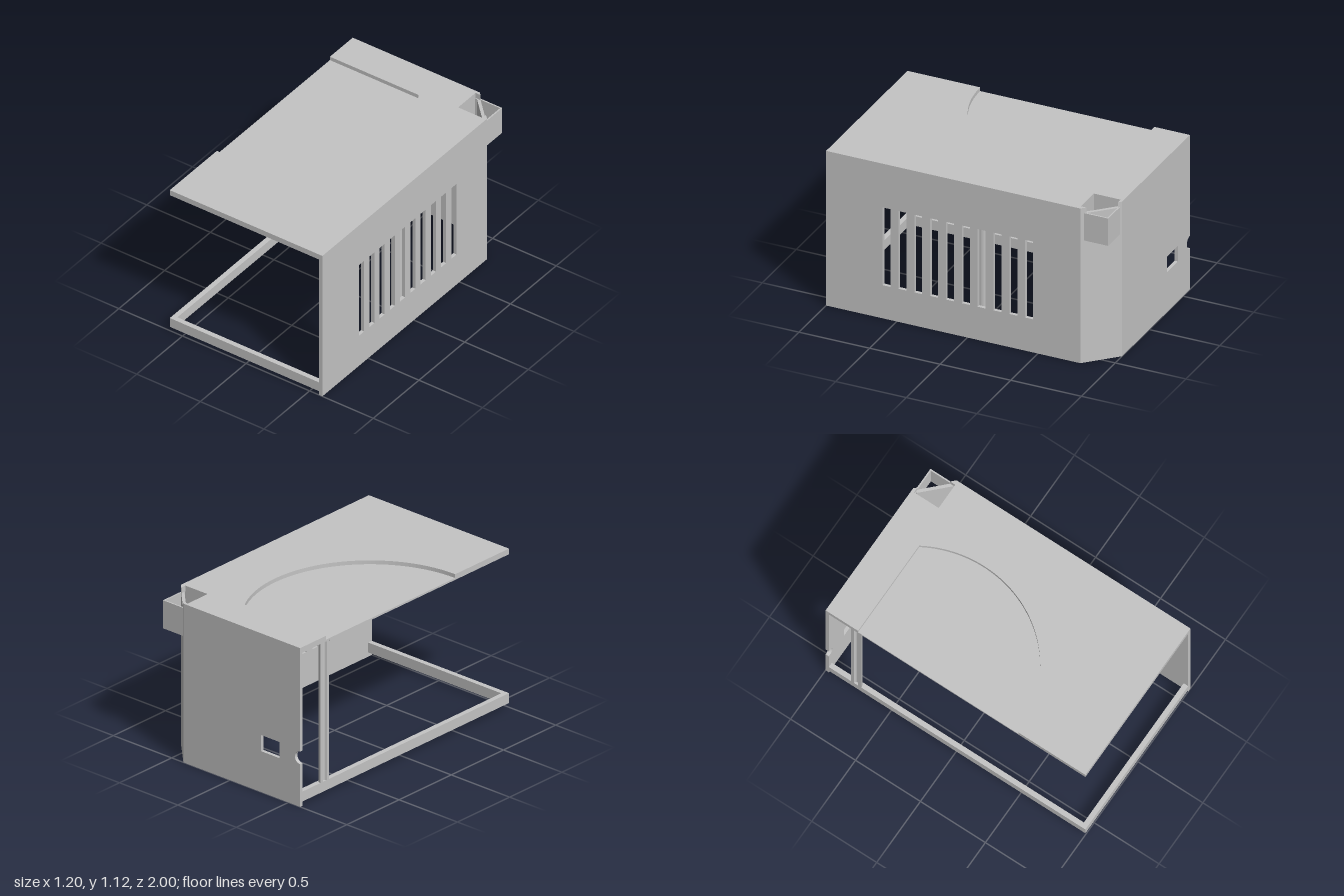
import * as THREE from 'three';

export function createModel() {
  const model = new THREE.Group();
  const grey = new THREE.MeshStandardMaterial({ color: 0xc4c4c4 });
  grey.name = 'light grey plastic';

  const add = (name, geometry) => {
    const mesh = new THREE.Mesh(geometry, grey);
    mesh.name = name;
    model.add(mesh);
    return mesh;
  };
  const box = (name, x0, x1, y0, y1, z0, z1) =>
    add(name, new THREE.BoxGeometry(x1 - x0, y1 - y0, z1 - z0)
      .translate((x0 + x1) / 2, (y0 + y1) / 2, (z0 + z1) / 2));
  const polygon = (points) => new THREE.Shape(points.map(([x, y]) => new THREE.Vector2(x, y)));
  const rectHole = (x0, x1, y0, y1) => polygon([[x0, y0], [x0, y1], [x1, y1], [x1, y0]]);
  const extrude = (shape, depth) =>
    new THREE.ExtrudeGeometry(shape, { depth, bevelEnabled: false, curveSegments: 32 });
  // Plan shapes use (x, -z) and are raised from y0 to y1
  const raise = (name, shape, y0, y1) =>
    add(name, extrude(shape, y1 - y0).rotateX(-Math.PI / 2).translate(0, y0, 0));

  const ROOF = 1.08, TOP = 1.12, RECESS = 1.093, WALL = 0.025;

  // Roof: cut corner with a square opening, and a shallow round recess
  const roofEdge = [
    [-0.6, -1], [0.6, -1], [0.6, 0.8], [0.57, 0.83], [0.57, 0.79],
    [0.38, 0.79], [0.38, 0.98], [0.42, 0.98], [0.4, 1], [-0.6, 1],
  ];
  raise('roofBase', polygon(roofEdge), ROOF, RECESS);
  const upper = new THREE.Shape();
  upper.moveTo(-0.6, -1);
  roofEdge.slice(1).forEach(([x, y]) => upper.lineTo(x, y));
  upper.lineTo(-0.6, 0.75);
  upper.lineTo(0.0985, 0.75);
  upper.absarc(-0.6, 0.33, 0.815, Math.asin(0.42 / 0.815), -Math.PI / 2, true);
  raise('roofTopLayer', upper, RECESS, TOP);

  // Side wall with ten ventilation slots, drawn in (-z, y)
  const side = polygon([[-1, 0], [0.8, 0], [0.8, ROOF], [-1, ROOF]]);
  for (let i = 0; i < 10; i++) {
    const c = -0.5715 + i * 0.1122;
    side.holes.push(rectHole(c - 0.028, c + 0.028, 0.24, 0.803));
  }
  add('ventedSideWall', extrude(side, WALL).rotateY(Math.PI / 2).translate(0.6 - WALL, 0, 0));

  // Back wall with a window and a half-round cable notch
  const back = new THREE.Shape();
  back.moveTo(-0.6, 0);
  back.lineTo(0.4, 0);
  back.lineTo(0.4, ROOF);
  back.lineTo(-0.6, ROOF);
  back.lineTo(-0.6, 0.39);
  back.absarc(-0.6, 0.345, 0.045, Math.PI / 2, -Math.PI / 2, true);
  back.holes.push(rectHole(-0.425, -0.265, 0.288, 0.402));
  add('backWall', extrude(back, WALL).translate(0, 0, -1));

  // Slanted corner wall
  raise('cornerWall', polygon([[0.4, 1], [0.4, 0.97], [0.575, 0.795], [0.6, 0.8]]), 0, ROOF);

  // Open square sleeve through the corner
  const sleeve = polygon([[0.37, 0.78], [0.583, 0.78], [0.583, 0.99], [0.37, 0.99]]);
  sleeve.holes.push(rectHole(0.38, 0.573, 0.79, 0.98));
  raise('cornerSleeve', sleeve, 0.885, 1.083);

  // Bottom rails
  box('frontRail', -0.6, 0.575, 0.03, 0.1, 0.965, 1);
  box('sideRail', -0.6, -0.565, 0.03, 0.1, -0.975, 0.965);

  // Hollow screw post, and a halved one on the open side
  const post = new THREE.Shape().absarc(0.44, 0.04, 0.04, 0, Math.PI * 2);
  post.holes.push(new THREE.Path().absarc(0.44, 0.04, 0.016, 0, Math.PI * 2, true));
  raise('screwPost', post, 0.03, ROOF);
  const half = new THREE.Shape();
  half.absarc(-0.6, 0.765, 0.04, -Math.PI / 2, Math.PI / 2);
  half.absarc(-0.6, 0.765, 0.016, Math.PI / 2, -Math.PI / 2, true);
  raise('halfScrewPost', half, 0.03, ROOF);

  return model;
}
